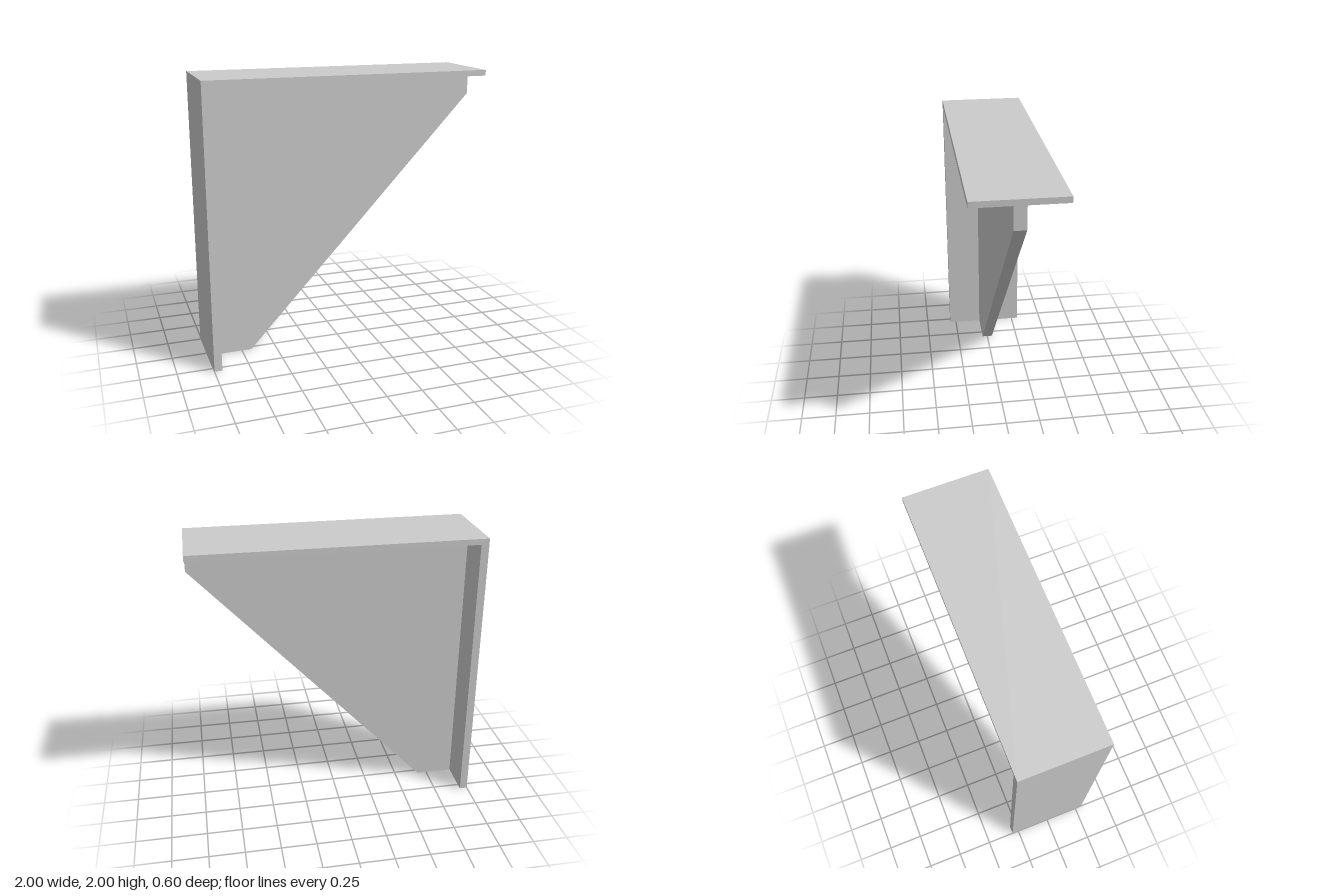
import * as THREE from 'three';

const material = new THREE.MeshStandardMaterial({ color: 0xcccccc, flatShading: true });

// Extrudes an outline in the x-y plane, centred on z = 0
function plate(name, points, depth) {
  const shape = new THREE.Shape(points.map(([x, y]) => new THREE.Vector2(x, y)));
  const geometry = new THREE.ExtrudeGeometry(shape, { depth, bevelEnabled: false });
  geometry.translate(0, 0, -depth / 2);
  const mesh = new THREE.Mesh(geometry, material);
  mesh.name = name;
  return mesh;
}

export function createModel() {
  const group = new THREE.Group();
  group.name = 'shelfBracket';
  const wallX = -0.945; // inner face of the wall flange
  const shelfY = 1.96; // underside of the shelf flange

  // Wall flange and shelf flange, one L-shaped piece
  group.add(plate('flanges', [
    [-1, 0], [wallX, 0], [wallX, shelfY], [1, shelfY], [1, 2], [-1, 2],
  ], 0.6));

  // Central gusset web with blunt ends
  group.add(plate('gussetWeb', [
    [wallX, 0], [-0.68, 0], [1, 1.805], [1, shelfY], [wallX, shelfY],
  ], 0.08));

  return group;
}
